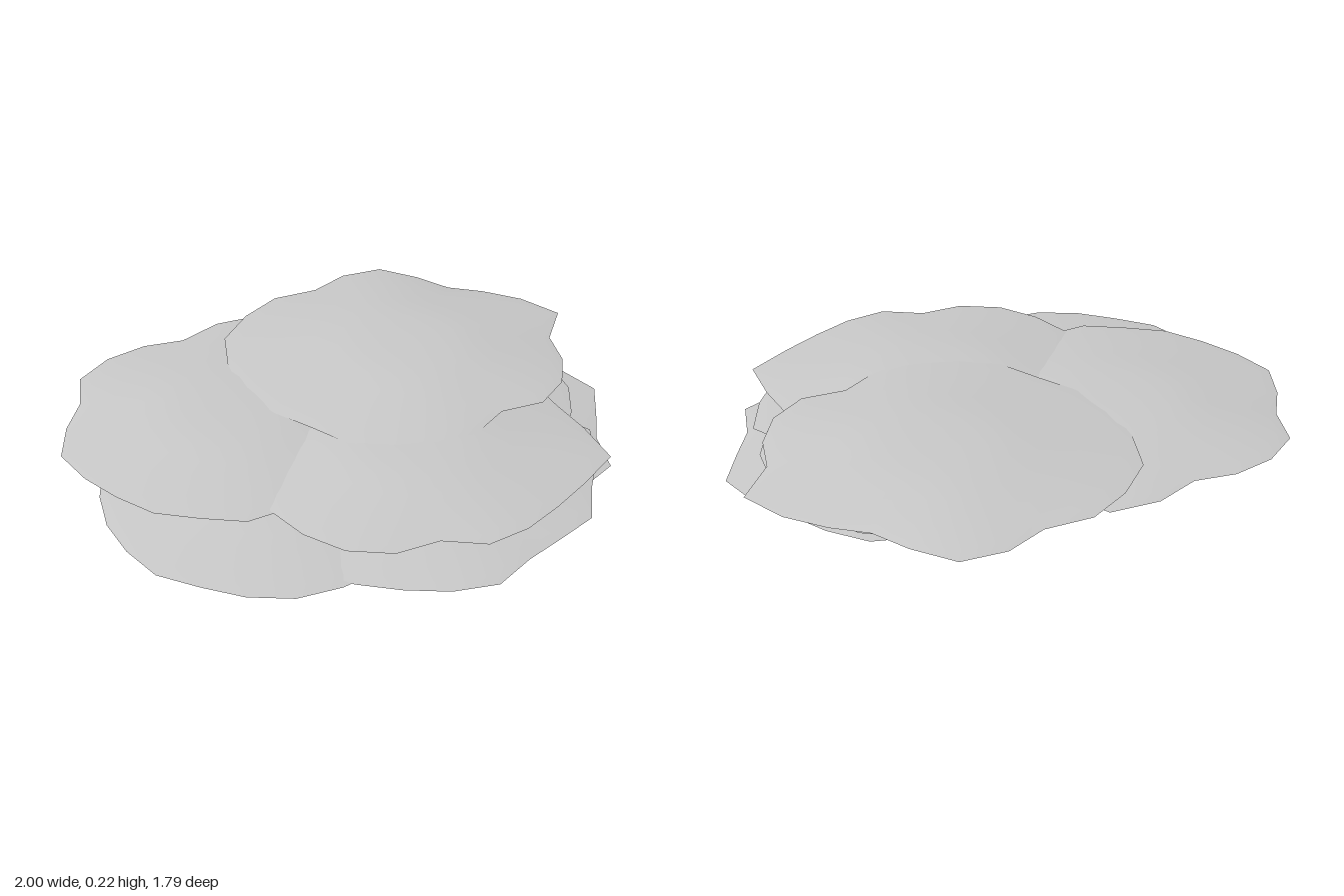
import * as THREE from 'three';

const SIDES = 24;
const material = new THREE.MeshStandardMaterial({ color: 0xcccccc });

// Cross-sections from centre to rim: [fraction of radius, height above rim]
const TOP = [[0, 0.041], [0.15, 0.041], [0.3, 0.039], [0.42, 0.035], [0.55, 0.028], [0.75, 0.016], [0.92, 0.006], [1, 0]];
const UNDER = [[0, -0.024], [0.5, -0.022], [0.8, -0.016], [0.95, -0.008], [1, 0]];

// Rim radius: uneven scallops, replaced by measured lobes where given
function rimRadii({ seed, start = 0, lobes = [] }) {
  const radii = [];
  for (let k = 0; k < SIDES; k++) {
    const a = (k / SIDES) * Math.PI * 2;
    radii.push(0.6 + 0.018 * Math.sin(3 * a + seed) + 0.022 * Math.sin(7 * a + seed * 2.3));
  }
  lobes.forEach((r, i) => { radii[(start + i) % SIDES] = r; });
  return radii;
}

// One shell of a slab, lofted ring by ring
function shell(profile, radii, tiltX, tiltZ, up) {
  const pos = [], index = [];
  for (const [t, h] of profile) {
    for (let k = 0; k < SIDES; k++) {
      const a = (k / SIDES) * Math.PI * 2;
      const r = t * THREE.MathUtils.lerp(0.6, radii[k], t * t);
      const x = Math.cos(a) * r, z = Math.sin(a) * r;
      pos.push(x, h + tiltX * x + tiltZ * z, z);
    }
  }
  for (let i = 0; i < profile.length - 1; i++) {
    for (let k = 0; k < SIDES; k++) {
      const n = (k + 1) % SIDES;
      const a = i * SIDES + k, b = i * SIDES + n, c = a + SIDES, d = b + SIDES;
      const tris = i === 0 ? [[a, d, c]] : [[a, d, c], [a, b, d]];
      for (const [p, q, s] of tris) index.push(...(up ? [p, q, s] : [p, s, q]));
    }
  }
  // Centre fan shares one normal
  const g = new THREE.BufferGeometry();
  g.setAttribute('position', new THREE.Float32BufferAttribute(pos, 3));
  g.setIndex(index);
  g.computeVertexNormals();
  for (let k = 0; k < SIDES; k++) g.attributes.normal.setXYZ(k, 0, up ? 1 : -1, 0);
  return g;
}

function slab(spec) {
  const { name, at, tilt = [0, 0] } = spec;
  const radii = rimRadii(spec);
  const group = new THREE.Group();
  group.name = name;
  for (const [part, profile, up] of [['Top', TOP, true], ['Underside', UNDER, false]]) {
    const mesh = new THREE.Mesh(shell(profile, radii, tilt[0], tilt[1], up), material);
    mesh.name = name + part;
    group.add(mesh);
  }
  group.position.set(...at);
  return group;
}

// Stacked slabs, lowest first; lobes run clockwise seen from above in 15 degree steps
const SLABS = [
  { name: 'baseSlab', at: [0.35, 0.027, 0.03], tilt: [0.008, 0], seed: 1,
    start: 23, lobes: [0.6, 0.63, 0.57, 0.55] },
  { name: 'lowerLeftSlab', at: [-0.34, 0.055, 0.1], seed: 2.4,
    start: 5, lobes: [0.59, 0.6, 0.61, 0.6, 0.59, 0.61, 0.6, 0.6, 0.6] },
  { name: 'lowerFrontSlab', at: [0.12, 0.058, 0.28], seed: 4,
    start: 0, lobes: [0.69, 0.64, 0.6, 0.62, 0.57, 0.56, 0.61, 0.6, 0.59, 0.6] },
  { name: 'middleSlab', at: [0.27, 0.1, -0.1], tilt: [-0.015, -0.015], seed: 5.2,
    start: 22, lobes: [0.58, 0.6, 0.59, 0.6, 0.59, 0.58] },
  { name: 'upperLeftSlab', at: [-0.38, 0.14, -0.22], seed: 0.5,
    start: 6, lobes: [0.58, 0.61, 0.59, 0.6, 0.59, 0.6, 0.62, 0.58, 0.55, 0.61, 0.6, 0.57, 0.53, 0.61, 0.67] },
  { name: 'upperFrontSlab', at: [0.13, 0.143, 0.2], seed: 3.1,
    start: 0, lobes: [0.58, 0.62, 0.69, 0.62, 0.59, 0.59, 0.59, 0.53, 0.59, 0.615, 0.61, 0.6] },
  { name: 'topSlab', at: [0.35, 0.176, -0.3], tilt: [-0.003, 0.008], seed: 0,
    start: 0, lobes: [0.65, 0.55, 0.58, 0.6, 0.59, 0.52, 0.58, 0.62, 0.64, 0.63, 0.61, 0.64,
      0.66, 0.67, 0.69, 0.66, 0.63, 0.56, 0.6, 0.61, 0.54, 0.49, 0.53, 0.59] },
];

export function createModel() {
  const model = new THREE.Group();
  model.name = 'slabPile';
  for (const spec of SLABS) model.add(slab(spec));
  return model;
}
